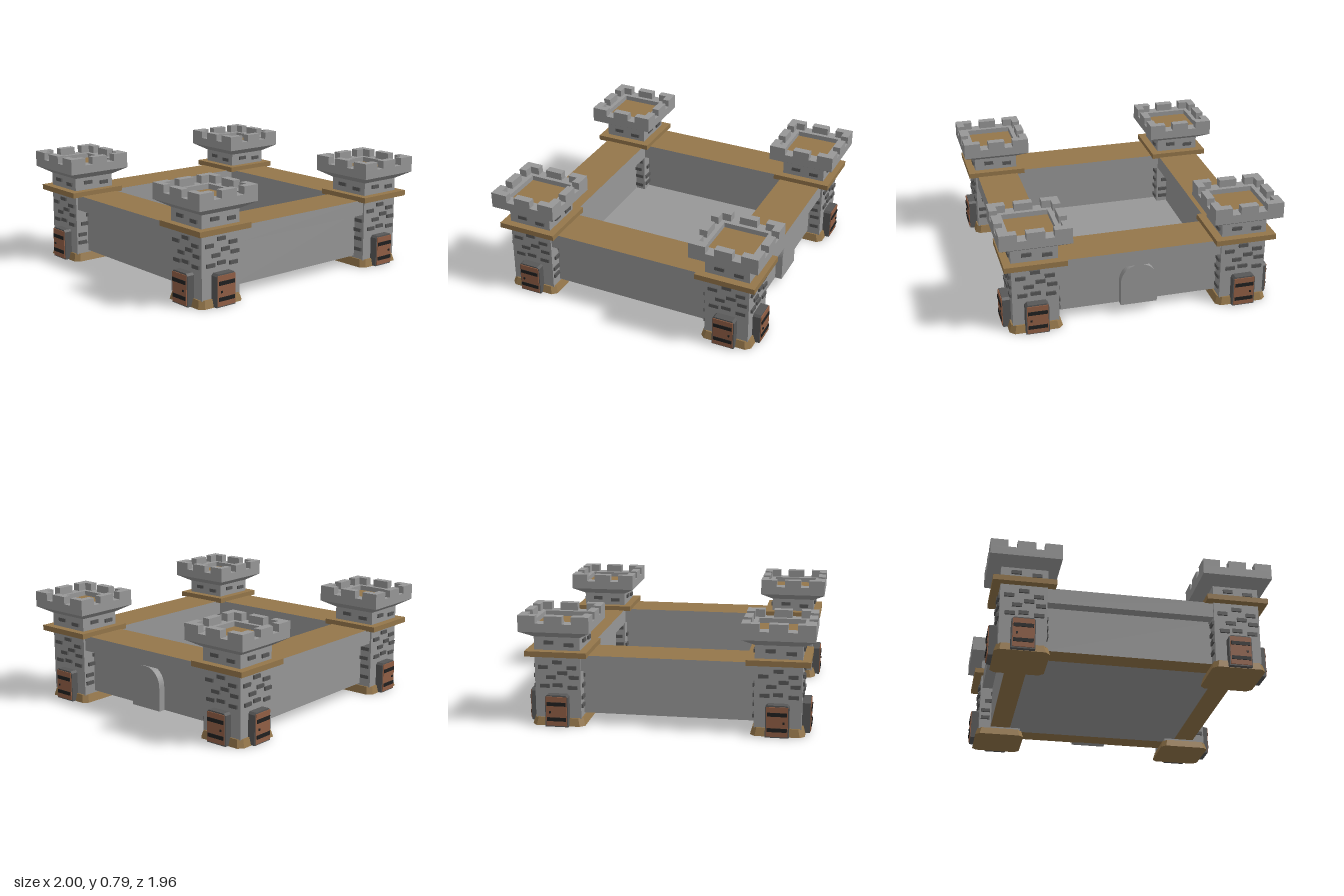
import * as THREE from 'three';

const mat = (name, color) => {
  const m = new THREE.MeshStandardMaterial({ color });
  m.name = name;
  return m;
};

export function createModel() {
  const stone = mat('stone', 0x979797);
  const darkStone = mat('darkStone', 0x575757);
  const timber = mat('timber', 0x94764a);
  const doorWood = mat('doorWood', 0x915f45);
  const iron = mat('iron', 0x202020);

  const castle = new THREE.Group();
  castle.name = 'castle';

  const add = (parent, name, geometry, material, x = 0, y = 0, z = 0) => {
    const mesh = new THREE.Mesh(geometry, material);
    mesh.name = name;
    mesh.position.set(x, y, z);
    parent.add(mesh);
    return mesh;
  };
  // Box given by its centre in x and z and its bottom and top in y
  const box = (parent, name, material, w, d, y0, y1, x = 0, z = 0) =>
    add(parent, name, new THREE.BoxGeometry(w, y1 - y0, d), material, x, (y0 + y1) / 2, z);
  const flat = (geometry) => {
    const g = geometry.index ? geometry.toNonIndexed() : geometry;
    g.computeVertexNormals();
    return g;
  };
  // Square with cut corners
  const cutSquare = (h, c) => new THREE.Shape([
    [h, -h + c], [h, h - c], [h - c, h], [-h + c, h],
    [-h, h - c], [-h, -h + c], [-h + c, -h], [h - c, -h],
  ].map(([x, y]) => new THREE.Vector2(x, y)));
  const extrudeUp = (shape, depth) =>
    new THREE.ExtrudeGeometry(shape, { depth, bevelEnabled: false }).rotateX(-Math.PI / 2);

  const TX = 0.755, TZ = 0.735; // tower centres
  const BODY = 0.16, TOP = 0.245; // tower half widths

  // Foot: slab that widens towards the ground
  const footGeo = extrudeUp(cutSquare(0.17, 0.03), 0.055);
  const fp = footGeo.attributes.position;
  for (let i = 0; i < fp.count; i++) {
    if (fp.getY(i) < 0.01) fp.setXYZ(i, fp.getX(i) * 1.09, 0, fp.getZ(i) * 1.09);
  }
  footGeo.computeVertexNormals();

  // Flare under the battlements
  const flareGeo = flat(new THREE.CylinderGeometry(TOP * Math.SQRT2, BODY * Math.SQRT2, 0.05, 4)
    .rotateY(Math.PI / 4));

  // Parapet ring with a square opening
  const ring = cutSquare(TOP, 0.0001);
  ring.holes.push(new THREE.Path(cutSquare(BODY, 0.0001).getPoints().reverse()));
  const ringGeo = extrudeUp(ring, 0.06);

  const frameShape = new THREE.Shape([[-0.08, 0], [0.08, 0], [0.08, 0.21], [0.065, 0.225],
    [-0.065, 0.225], [-0.08, 0.21]].map(([x, y]) => new THREE.Vector2(x, y)));
  const frameGeo = new THREE.ExtrudeGeometry(frameShape, { depth: 0.075, bevelEnabled: false });

  const bricks = [
    [0, 0.45], [-0.1, 0.413], [0.1, 0.413], [0.035, 0.375], [-0.045, 0.343], [0.115, 0.345],
    [0.0, 0.288], [-0.09, 0.28], [0.105, 0.273], [-0.055, 0.588], [0.085, 0.574],
  ];
  const lowBricks = [[-0.115, 0.2], [0.115, 0.21], [0.02, 0.21], [-0.115, 0.14], [0.115, 0.13]];
  const brickGeo = new THREE.BoxGeometry(0.068, 0.026, 0.024);

  function door(parent, side) {
    const g = new THREE.Group();
    g.name = 'door';
    parent.add(g);
    add(g, 'doorFrame', frameGeo, darkStone, 0, 0.003, 0.14);
    box(g, 'doorPanel', doorWood, 0.146, 0.008, 0.012, 0.218, 0, 0.217);
    for (const y of [0.046, 0.154]) box(g, 'doorBar', iron, 0.134, 0.012, y, y + 0.026, 0, 0.22);
    box(g, 'doorHandle', iron, 0.012, 0.014, 0.102, 0.116, side * 0.045, 0.221);
  }

  function tower(sx, sz) {
    const t = new THREE.Group();
    t.name = 'tower';
    t.position.set(sx * TX, 0, sz * TZ);
    castle.add(t);
    add(t, 'foot', footGeo, timber);
    box(t, 'towerBody', stone, BODY * 2, BODY * 2, 0.05, 0.63);
    box(t, 'timberBand', timber, 0.43, 0.43, 0.495, 0.533);
    add(t, 'flare', flareGeo, stone, 0, 0.65, 0);
    add(t, 'parapet', ringGeo, stone, 0, 0.675, 0);
    box(t, 'towerFloor', timber, BODY * 2, BODY * 2, 0.674, 0.7);

    for (let i = 0; i < 4; i++) {
      const face = new THREE.Group();
      face.name = 'towerFace';
      face.rotation.y = i * Math.PI / 2;
      t.add(face);
      const front = i === (sz > 0 ? 0 : 2);
      const outer = front || i === (sx > 0 ? 1 : 3);
      for (const [x, y] of outer ? bricks : bricks.concat(lowBricks)) {
        add(face, 'brick', brickGeo, darkStone, x, y, BODY);
      }
      if (outer) door(face, front ? sx * sz : -sx * sz);

      // Merlons: one in the middle and two arms meeting at each corner
      const z = TOP - 0.0275;
      box(face, 'merlon', stone, 0.125, 0.055, 0.735, 0.788, 0, z);
      box(face, 'cornerMerlon', stone, 0.12, 0.055, 0.735, 0.788, -TOP + 0.06, z);
      box(face, 'cornerMerlonArm', stone, 0.065, 0.055, 0.735, 0.788, TOP - 0.0875, z);
    }
  }

  for (const sx of [-1, 1]) for (const sz of [-1, 1]) tower(sx, sz);

  // Walls: narrow lower part under a wide walkway
  const deckMats = [stone, stone, timber, stone, stone, stone];
  const wallMats = [stone, stone, stone, timber, stone, stone];
  for (const s of [-1, 1]) {
    box(castle, 'walkway', deckMats, 1.2, 0.305, 0.39, 0.5, 0, s * 0.73);
    box(castle, 'wall', wallMats, 1.2, 0.15, 0.07, 0.39, 0, s * 0.73);
    box(castle, 'sideWalkway', deckMats, 0.31, 1.16, 0.39, 0.5, s * 0.745, 0);
    box(castle, 'sideWall', wallMats, 0.15, 1.16, 0.07, 0.39, s * 0.745, 0);
  }

  // Courtyard floor
  box(castle, 'courtyardFloor', stone, 1.34, 1.31, 0.07, 0.09);

  // Arched gate on the left wall
  const arch = new THREE.Shape();
  arch.moveTo(-0.13, 0);
  arch.lineTo(0.13, 0);
  arch.lineTo(0.13, 0.175);
  arch.absarc(0, 0.175, 0.13, 0, Math.PI, false);
  arch.lineTo(-0.13, 0);
  const gateGeo = new THREE.ExtrudeGeometry(arch, { depth: 0.06, bevelEnabled: false, curveSegments: 16 });
  add(castle, 'archedGate', gateGeo, stone, 0.81, 0.07, 0).rotation.y = Math.PI / 2;

  return castle;
}
